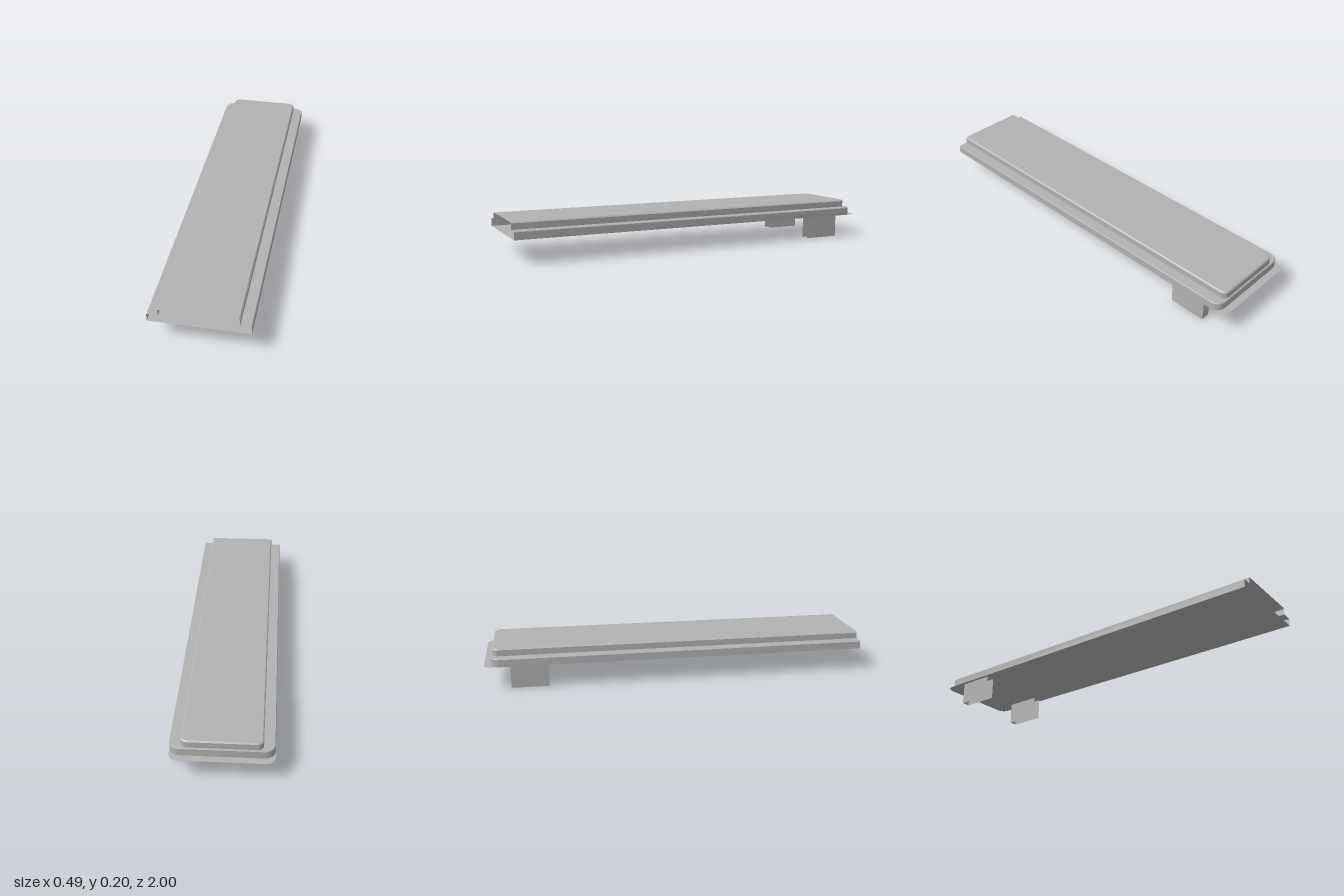
import * as THREE from 'three';
import { toCreasedNormals } from 'three/addons/utils/BufferGeometryUtils.js';

const FRONT = 1, STEPS = 6;

// Outline open at the front: down the +x side, round the back, up the -x side
function outline(halfWidth, back, radius) {
  const pts = [new THREE.Vector2(halfWidth, FRONT)];
  for (const side of [1, -1]) {
    for (let i = 0; i <= STEPS; i++) {
      const t = (i / STEPS) * Math.PI / 2;
      const a = side > 0 ? t : Math.PI / 2 + t;
      pts.push(new THREE.Vector2(
        side * (halfWidth - radius) + Math.cos(a) * radius,
        back + radius - Math.sin(a) * radius));
    }
  }
  pts.push(new THREE.Vector2(-halfWidth, FRONT));
  return pts;
}

// Wall lofted through rings of [halfWidth, back, radius, y]
function wallGeometry(rings) {
  const pos = [], index = [];
  const n = 2 * STEPS + 4;
  rings.forEach(([w, b, r, y], k) => {
    for (const p of outline(w, b, r)) pos.push(p.x, y, p.y);
    if (k === 0) return;
    for (let i = 0; i < n - 1; i++) {
      const a = (k - 1) * n + i, c = k * n + i;
      index.push(a, a + 1, c + 1, a, c + 1, c);
    }
  });
  const geo = new THREE.BufferGeometry();
  geo.setAttribute('position', new THREE.Float32BufferAttribute(pos, 3));
  geo.setIndex(index);
  return toCreasedNormals(geo, 0.5);
}

// Flat sheet filling an outline
function sheetGeometry(w, b, r, y) {
  const shape = new THREE.Shape(outline(w, b, r).map(p => new THREE.Vector2(p.x, -p.y)));
  return new THREE.ShapeGeometry(shape).rotateX(-Math.PI / 2).translate(0, y, 0);
}

export function createModel() {
  const group = new THREE.Group();
  const grey = new THREE.MeshStandardMaterial({ color: 0xb2b2b2, side: THREE.DoubleSide });
  grey.name = 'grey';
  const add = (name, geo, parent = group) => {
    const mesh = new THREE.Mesh(geo, grey);
    mesh.name = name;
    parent.add(mesh);
    return mesh;
  };

  // Thin base sheet reaching a little past the frame at the back
  add('basePlate', sheetGeometry(0.243, -1, 0.045, 0.12));

  // Lower frame with a softened rim and a ledge running in to the panel
  add('frame', wallGeometry([
    [0.243, -0.965, 0.05, 0.12],
    [0.243, -0.965, 0.05, 0.158],
    [0.24, -0.962, 0.047, 0.162],
    [0.189, -0.957, 0.03, 0.162],
  ]));

  // Raised panel with a bevelled top edge
  add('panelSides', wallGeometry([
    [0.189, -0.957, 0.03, 0.162],
    [0.189, -0.957, 0.03, 0.193],
    [0.183, -0.951, 0.026, 0.199],
  ]));
  add('panelTop', sheetGeometry(0.183, -0.951, 0.026, 0.199));

  // Legs: sheets on both sides and the back, open at the front and below
  const height = 0.12, zBack = -0.867, zFront = -0.674, xIn = 0.181, xOut = 0.226;
  for (const side of [1, -1]) {
    const leg = new THREE.Group();
    leg.name = side > 0 ? 'leftLeg' : 'rightLeg';
    for (const [name, x, turn] of [['legOuterSide', xOut, 1], ['legInnerSide', xIn, -1]]) {
      const plate = add(name, new THREE.PlaneGeometry(zFront - zBack, height), leg);
      plate.rotation.y = side * turn * Math.PI / 2;
      plate.position.set(side * x, height / 2, (zFront + zBack) / 2);
    }
    const rear = add('legBack', new THREE.PlaneGeometry(xOut - xIn, height), leg);
    rear.rotation.y = Math.PI;
    rear.position.set(side * (xIn + xOut) / 2, height / 2, zBack);
    group.add(leg);
  }
  return group;
}
